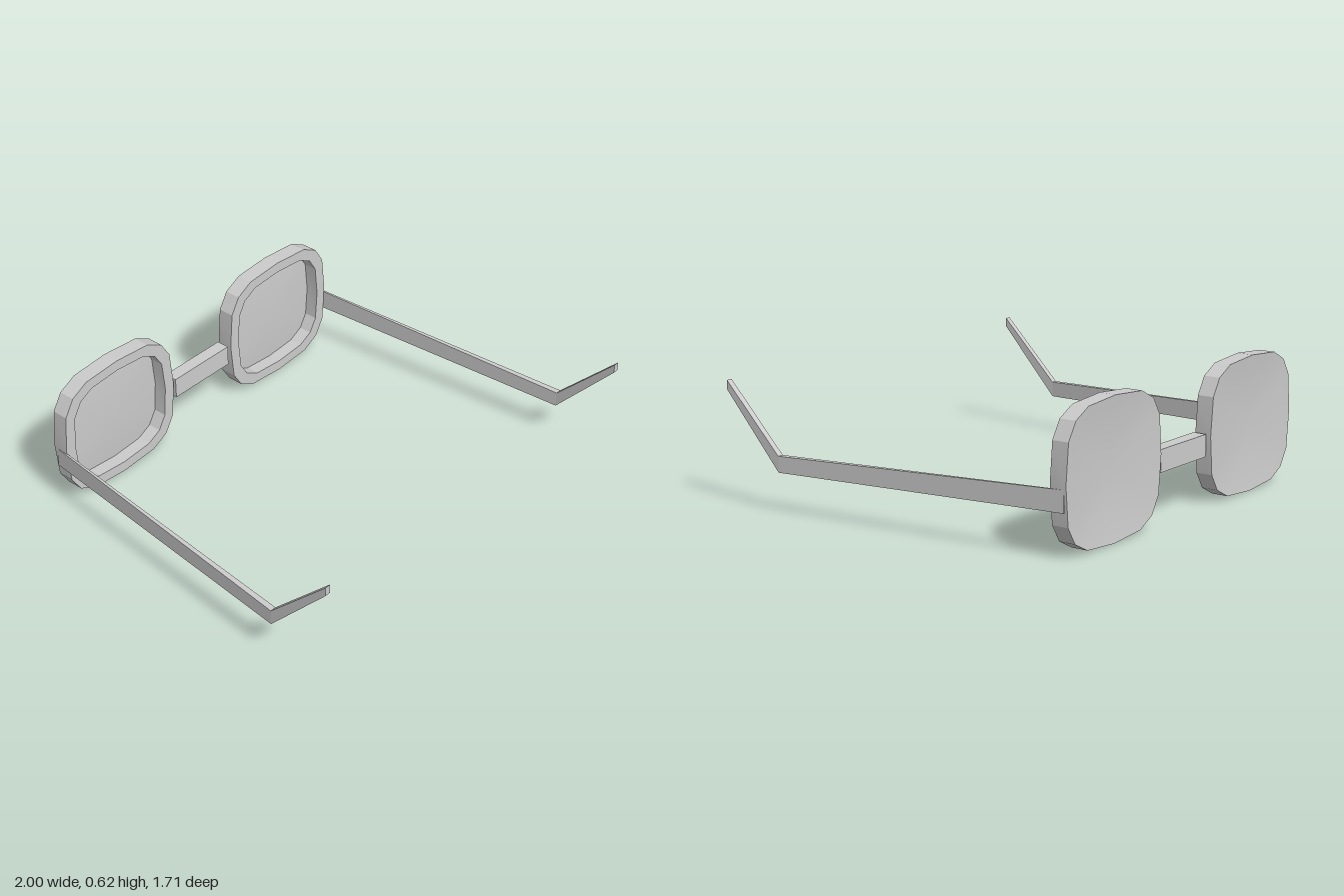
import * as THREE from 'three';
import { toCreasedNormals } from 'three/addons/utils/BufferGeometryUtils.js';

const material = new THREE.MeshStandardMaterial({ color: 0xcccccc, side: THREE.DoubleSide });

// Skin a list of rings (anticlockwise seen from +z); a ring may shrink to a point.
function loft(rings, crease) {
  const pos = [];
  const tri = (a, b, c) => {
    if (a.distanceTo(b) > 1e-6 && b.distanceTo(c) > 1e-6 && c.distanceTo(a) > 1e-6) {
      for (const p of [a, b, c]) pos.push(p.x, p.y, p.z);
    }
  };
  for (let r = 0; r < rings.length - 1; r++) {
    const n = rings[r].length;
    for (let i = 0; i < n; i++) {
      const j = (i + 1) % n;
      tri(rings[r][i], rings[r][j], rings[r + 1][j]);
      tri(rings[r][i], rings[r + 1][j], rings[r + 1][i]);
    }
  }
  const geometry = new THREE.BufferGeometry();
  geometry.setAttribute('position', new THREE.Float32BufferAttribute(pos, 3));
  return toCreasedNormals(geometry, crease);
}

// Sixteen-sided rounded square around the lens centre
function squircle(halfW, halfH, z) {
  const bend = (v) => (Math.abs(v) < 1e-9 ? 0 : Math.sign(v) * Math.abs(v) ** 0.606);
  return Array.from({ length: 16 }, (_, i) => {
    const a = (i * Math.PI) / 8;
    return new THREE.Vector3(halfW * bend(Math.cos(a)), halfH * bend(Math.sin(a)), z);
  });
}

// Rectangular section of a temple arm
function armSection(side, inner, outer, bottom, top, z) {
  const lo = Math.min(side * inner, side * outer);
  const hi = Math.max(side * inner, side * outer);
  return [[hi, bottom], [hi, top], [lo, top], [lo, bottom]].map(([x, y]) => new THREE.Vector3(x, y, z));
}

const collapse = (ring) => {
  const mid = ring.reduce((s, p) => s.add(p), new THREE.Vector3()).divideScalar(ring.length);
  return ring.map(() => mid);
};

export function createModel() {
  const model = new THREE.Group();
  const add = (name, geometry) => {
    const mesh = new THREE.Mesh(geometry, material);
    mesh.name = name;
    model.add(mesh);
    return mesh;
  };

  // Rim and shallow lens in one skin: back face, outer wall, front lip, recess
  const lensGeometry = loft([
    squircle(0, 0, -0.825),
    squircle(0.283, 0.258, -0.847),
    squircle(0.337, 0.308, -0.853),
    squircle(0.337, 0.308, -0.775),
    squircle(0.283, 0.258, -0.775),
    squircle(0.283, 0.258, -0.84),
    squircle(0, 0, -0.82),
  ], 0.3);

  for (const side of [1, -1]) {
    const label = side > 0 ? 'left' : 'right';
    add(label + 'RimAndLens', lensGeometry).position.set(side * 0.53, 0.312, 0);

    // Temple arm, widening backwards, with the upturned ear tip
    const sections = [
      armSection(side, 0.857, 0.865, 0.2, 0.295, -0.84),
      armSection(side, 0.972, 1, 0.18, 0.252, 0.56),
      armSection(side, 0.972, 1, 0.505, 0.547, 0.853),
    ];
    add(label + 'Arm', loft([collapse(sections[0]), ...sections, collapse(sections[2])], 0.02));
  }

  // Bridge bar between the rims
  add('bridge', new THREE.BoxGeometry(0.352, 0.1, 0.063)).position.set(-0.003, 0.275, -0.807);

  return model;
}
